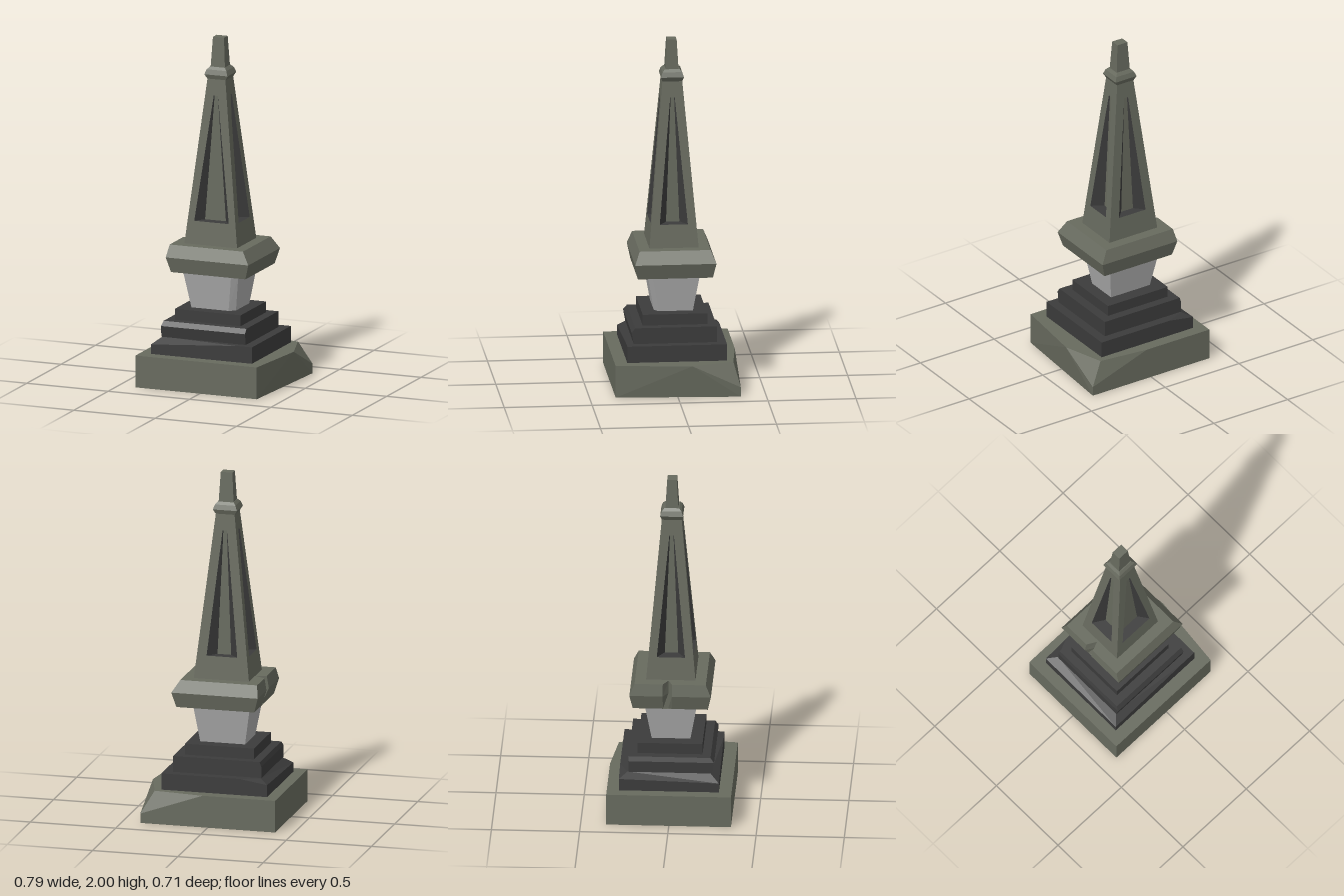
import * as THREE from 'three';

const mat = (name, color) => {
  const m = new THREE.MeshStandardMaterial({ color });
  m.name = name;
  return m;
};

// flat-shaded geometry from polygons (each fanned from its first corner)
function facesGeometry(polys) {
  const pos = [];
  for (const p of polys)
    for (let i = 1; i < p.length - 1; i++) pos.push(...p[0], ...p[i], ...p[i + 1]);
  const g = new THREE.BufferGeometry();
  g.setAttribute('position', new THREE.Float32BufferAttribute(pos, 3));
  g.computeVertexNormals();
  return g;
}

// side quads between rings of equal corner count, closed with caps
function loft(rings) {
  const polys = [[...rings[0]].reverse(), rings[rings.length - 1]];
  for (let k = 0; k < rings.length - 1; k++) {
    const a = rings[k], b = rings[k + 1], n = a.length;
    for (let i = 0; i < n; i++) {
      const j = (i + 1) % n;
      polys.push([a[i], a[j], b[j], b[i]]);
    }
  }
  return polys;
}

// rectangle ring, counter-clockwise from above: front left first in x
const rect = (y, x0, x1, z0, z1) => [[x0, y, z1], [x1, y, z1], [x1, y, z0], [x0, y, z0]];

export function createModel() {
  const stone = mat('olive stone', 0x676a5e);
  const dark = mat('dark stone', 0x3b3b3b);
  const pale = mat('pale stone', 0xaaaaaa);
  const model = new THREE.Group();
  model.name = 'monument';
  const add = (name, material, polys, parent = model) => {
    const m = new THREE.Mesh(facesGeometry(polys), material);
    m.name = name;
    parent.add(m);
  };

  // plinth with a broken back corner
  const [fl, fr, br, bl] = rect(0, -0.395, 0.395, -0.355, 0.352);
  fr[0] = 0.35;
  const up = ([x, , z]) => [x, 0.185, z];
  const A = [0.03, 0.185, -0.355], B = [0.395, 0.185, -0.08];
  const P = [0.32, 0.185, -0.32], Q = [0.395, 0.055, -0.355];
  add('plinth', stone, [
    [bl, br, fr, fl], [fl, fr, up(fr), up(fl)], [bl, fl, up(fl), up(bl)],
    [B, up(fr), fr, br, Q], [Q, br, bl, up(bl), A],
    [P, A, up(bl), up(fl), up(fr), B], [P, B, Q], [A, P, Q],
  ]);

  // lower step with two worn left corners
  const s = rect(0.185, -0.33, 0.29, -0.287, 0.28);
  const FL = [-0.33, 0.24, 0.28], BL = [-0.33, 0.255, -0.287];
  const FR = [0.29, 0.28, 0.28], BR = [0.29, 0.28, -0.287];
  const fe = [0.2, 0.28, 0.28], be = [-0.17, 0.28, -0.287];
  const iF = [-0.28, 0.28, 0.23], iB = [-0.28, 0.28, -0.24];
  add('lowerStep', dark, [
    [...s].reverse(), [s[0], s[1], FR, fe, FL], [s[1], s[2], BR, FR],
    [s[2], s[3], BL, be, BR], [s[3], s[0], FL, BL],
    [FL, fe, iF], [FL, iF, iB, BL], [BL, iB, be], [iF, fe, FR, BR, be, iB],
  ]);

  // middle step with a worn front and left edge
  const mid = rect(0.345, -0.282, 0.235, -0.235, 0.25);
  const midTop = rect(0.372, -0.273, 0.235, -0.235, 0.23);
  mid[2][1] = 0.352;
  add('middleStep', dark, loft([rect(0.28, -0.283, 0.235, -0.235, 0.238), mid, midTop]));
  add('upperStep', dark, loft([
    rect(0.372, -0.225, 0.18, -0.185, 0.182), rect(0.435, -0.225, 0.18, -0.185, 0.182)]));

  // flared pale neck with one chamfered front corner
  const neck = (y, x0, x1, z, cx, cz) =>
    [[x0, y, z], [x1 - cx, y, z], [x1, y, z - cz], [x1, y, -z], [x0, y, -z]];
  add('neck', pale, loft([
    neck(0.435, -0.153, 0.11, 0.11, 0.035, 0.025), neck(0.655, -0.19, 0.142, 0.148, 0.035, 0.022)]));

  // collar with a notch in its left edge
  const collar = (y, x0, x1, z, notch) => [
    [x1, y, z], [x1, y, -z], [x0, y, -z],
    [x0, y, -0.042], [x0 + notch, y, -0.012], [x0, y, 0.01], [x0, y, z]];
  add('collar', stone, loft([
    collar(0.655, -0.235, 0.222, 0.213, 0.01),
    collar(0.742, -0.26, 0.247, 0.231, 0.05),
    collar(0.812, -0.248, 0.202, 0.202, 0.055)]));

  // tapering obelisk: four faces, each with a sunken panel
  const cx = -0.022, y0 = 0.81, y1 = 1.78;
  const spire = new THREE.Group();
  spire.name = 'obelisk';
  model.add(spire);
  const halfX = [0.162, 0.053], halfZ = [0.14, 0.055];
  const sides = [
    // half widths of panel opening, of its floor, and floor distance from the axis
    { name: 'front', w: halfX, d: halfZ, open: 0.106, floor: 0.064, depth: 0.07, put: (u, y, d) => [cx + u, y, d] },
    { name: 'left', w: halfZ, d: halfX, open: 0.08, floor: 0.038, depth: 0.078, put: (u, y, d) => [cx + d, y, -u] },
    { name: 'back', w: halfX, d: halfZ, open: 0.09, floor: 0.04, depth: 0.075, put: (u, y, d) => [cx - u, y, -d] },
    { name: 'right', w: halfZ, d: halfX, open: 0.08, floor: 0.038, depth: 0.078, put: (u, y, d) => [cx - d, y, u] },
  ];
  for (const { name, w, d, open, floor, depth, put } of sides) {
    const dist = y => d[0] + (d[1] - d[0]) * (y - y0) / (y1 - y0);
    const yb = 0.945, yt = 1.668, tip = 0.013;
    const o = [put(-w[0], y0, d[0]), put(w[0], y0, d[0]), put(w[1], y1, d[1]), put(-w[1], y1, d[1])];
    const h = [put(-open, yb, dist(yb)), put(open, yb, dist(yb)), put(tip, yt, dist(yt)), put(-tip, yt, dist(yt))];
    const dt = Math.min(depth, dist(yt) - 0.006);
    const f = [put(-floor, yb, depth), put(floor, yb, depth), put(tip - 0.003, yt, dt), put(0.003 - tip, yt, dt)];
    const frame = [], walls = [];
    for (let i = 0; i < 4; i++) {
      const j = (i + 1) % 4;
      frame.push([o[i], o[j], h[j], h[i]]);
      walls.push([h[i], h[j], f[j], f[i]]);
    }
    add(name + 'Face', stone, frame, spire);
    add(name + 'PanelWalls', dark, walls, spire);
    add(name + 'PanelFloor', stone, [f], spire);
  }

  // moulded ring and tapering tip
  const square = (y, hx, hz) => rect(y, cx - hx, cx + hx, -hz, hz);
  add('topRing', stone, loft([
    square(1.76, 0.055, 0.056), square(1.787, 0.071, 0.065),
    square(1.815, 0.06, 0.056), square(1.83, 0.047, 0.042)]));
  add('tip', stone, loft([square(1.825, 0.044, 0.037), square(2, 0.034, 0.027)]));

  return model;
}
